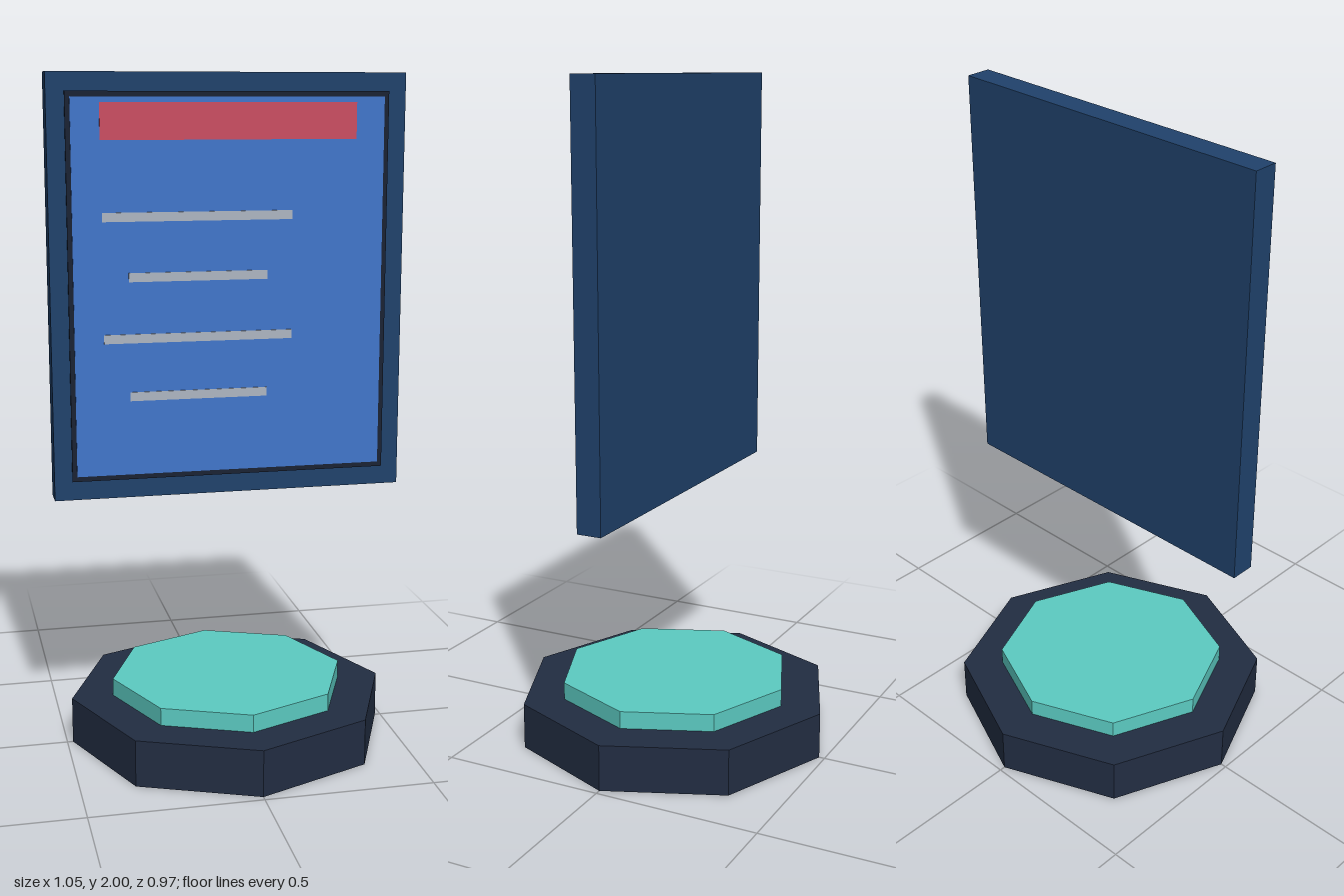
import * as THREE from 'three';

const mat = (name, color) => Object.assign(new THREE.MeshStandardMaterial({ color }), { name });

export function createModel() {
  const navy = mat('navy frame', 0x20426c);
  const dark = mat('dark base', 0x222d42);
  const black = mat('dark bezel', 0x1a2233);
  const teal = mat('teal', 0x5ccbc2);
  const blue = mat('screen blue', 0x4176cc);
  const red = mat('header red', 0xcc4e62);
  const grey = mat('line grey', 0xaeb6c2);

  const group = new THREE.Group();
  const add = (name, geometry, material) => {
    const mesh = new THREE.Mesh(geometry, material);
    mesh.name = name;
    group.add(mesh);
    return mesh;
  };
  // Box given by its limits on each axis
  const box = (name, material, x0, x1, y0, y1, z0, z1) =>
    add(name, new THREE.BoxGeometry(x1 - x0, y1 - y0, z1 - z0), material)
      .position.set((x0 + x1) / 2, (y0 + y1) / 2, (z0 + z1) / 2);
  // Octagonal slab with corners on the x and z axes
  const slab = (name, material, radius, y0, y1) => {
    const geometry = new THREE.CylinderGeometry(radius, radius, y1 - y0, 8).toNonIndexed();
    geometry.computeVertexNormals();
    add(name, geometry, material).position.y = (y0 + y1) / 2;
  };

  // Projector base
  slab('base', dark, 0.483, 0, 0.14);
  slab('glowPlate', teal, 0.357, 0.14, 0.193);

  // Floating panel
  box('panel', navy, -0.523, 0.523, 0.774, 2, -0.038, 0.037);
  box('bezel', black, -0.471, 0.471, 0.83, 1.947, 0.035, 0.043);
  box('screen', blue, -0.457, 0.457, 0.845, 1.932, 0.041, 0.046);
  box('header', red, -0.375, 0.373, 1.812, 1.916, 0.044, 0.049);

  // Text lines, alternating long and short
  [1.597, 1.425, 1.248, 1.078].forEach((y, i) => {
    const [x0, x1] = i % 2 ? [-0.298, 0.109] : [-0.372, 0.183];
    box('line' + (i + 1), grey, x0, x1, y - 0.013, y + 0.013, 0.044, 0.049);
  });

  return group;
}
